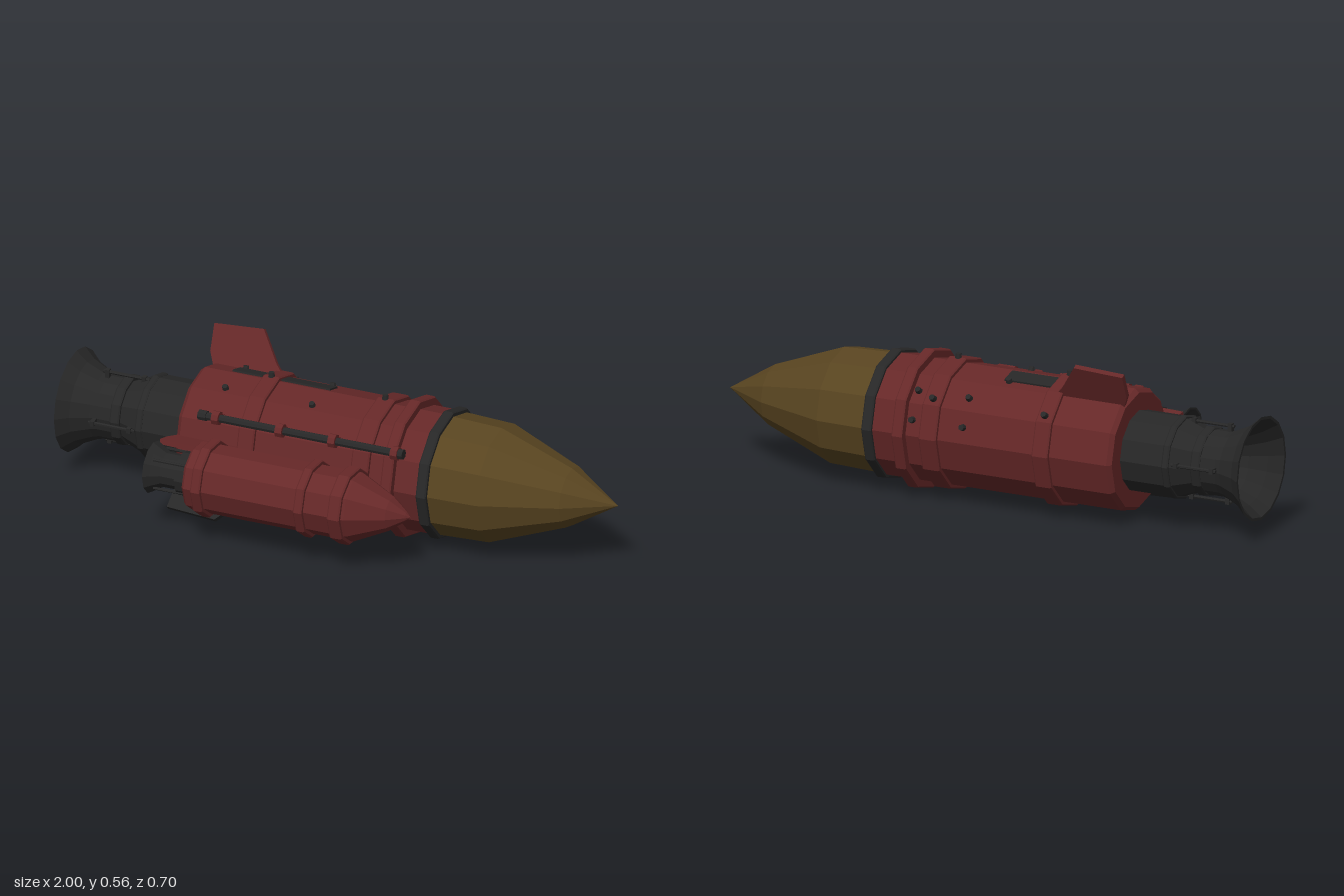
import * as THREE from 'three';

const mat = (name, color) => new THREE.MeshStandardMaterial({ name, color });

export function createModel() {
  const red = mat('hullRed', 0x662828);
  const dark = mat('engineDark', 0x272727);
  const olive = mat('noseOlive', 0x584420);
  const root = new THREE.Group();
  root.name = 'rocket';

  // Faceted mesh helper
  function add(parent, name, geo, material, x = 0, y = 0, z = 0) {
    const g = geo.index ? geo.toNonIndexed() : geo;
    g.computeVertexNormals();
    const m = new THREE.Mesh(g, material);
    m.name = name;
    m.position.set(x, y, z);
    parent.add(m);
    return m;
  }
  // Turned part along x; profile is a list of [x, radius] running towards +x
  function turned(parent, name, profile, sides, material) {
    const pts = profile.map(([x, r]) => new THREE.Vector2(r, x));
    return add(parent, name, new THREE.LatheGeometry(pts, sides).rotateZ(-Math.PI / 2), material);
  }
  // Closed band between x0 and x1 with small bevels
  function band(parent, name, x0, x1, r, sides, material, inner = r - 0.03) {
    turned(parent, name, [[x0, inner], [x0, r - 0.004], [x0 + 0.005, r], [x1 - 0.005, r], [x1, r - 0.004], [x1, inner]], sides, material);
  }
  // Group turned about the x axis so that its +y points outward (positive leans to +z)
  function radial(parent, degrees) {
    const g = new THREE.Group();
    g.rotation.x = THREE.MathUtils.degToRad(degrees);
    parent.add(g);
    return g;
  }

  // Main rocket
  const main = new THREE.Group();
  main.name = 'mainRocket';
  main.position.set(0, 0.243, -0.107);
  root.add(main);
  turned(main, 'hull', [[-0.54, 0], [-0.54, 0.2], [-0.525, 0.213], [0.36, 0.213], [0.36, 0]], 12, red);
  for (const [x0, x1, r] of [[-0.31, -0.25, 0.228], [0.11, 0.175, 0.228], [0.23, 0.27, 0.242]])
    band(main, 'hullBand', x0, x1, r, 12, red);
  band(main, 'noseRing', 0.355, 0.392, 0.225, 12, dark, 0.19);
  turned(main, 'noseCone', [[0.385, 0], [0.385, 0.21], [0.57, 0.203], [0.83, 0.105], [0.98, 0.012], [1, 0]], 12, olive);

  // Main engine with open bell
  turned(main, 'engineHousing', [[-0.81, 0.1], [-0.71, 0.14], [-0.535, 0.14]], 12, dark);
  band(main, 'housingRim', -0.72, -0.695, 0.145, 12, dark);
  turned(main, 'engineBell', [[-0.84, 0.09], [-0.9, 0.105], [-0.955, 0.135], [-1, 0.17], [-1, 0.18], [-0.96, 0.145],
    [-0.9, 0.117], [-0.88, 0.112], [-0.8, 0.112]], 16, dark);
  turned(main, 'chamberWall', [[-0.84, 0], [-0.84, 0.1]], 16, red);
  turned(main, 'injector', [[-0.86, 0], [-0.845, 0.016], [-0.838, 0.016]], 8, olive);
  band(main, 'bellCollar', -0.825, -0.79, 0.12, 12, dark);
  for (let i = 0; i < 4; i++) {
    const g = radial(main, i * 90 + 4);
    add(g, 'engineRod', new THREE.CylinderGeometry(0.006, 0.006, 0.17, 6).rotateZ(Math.PI / 2), dark, -0.81, 0.13, 0);
    for (const x of [-0.88, -0.745])
      add(g, 'rodMount', new THREE.BoxGeometry(0.015, 0.035, 0.018), dark, x, 0.122, 0);
  }

  // Fins: outline in x and radius
  function fin(degrees, tip, material, name) {
    const s = new THREE.Shape([[-0.53, 0.19], [-0.26, 0.19], [-0.31, 0.245], [-0.38, tip], [-0.56, tip - 0.012], [-0.555, 0.245]]
      .map(([x, y]) => new THREE.Vector2(x, y)));
    const geo = new THREE.ExtrudeGeometry(s, { depth: 0.018, bevelEnabled: false }).translate(0, 0, -0.009);
    add(radial(main, degrees), name, geo, material);
  }
  fin(-27, 0.352, red, 'upperFin');
  fin(80, 0.3, red, 'sideFin');
  fin(134.5, 0.325, dark, 'lowerFin');

  // Dark hull panels on the facet beside the top ridge
  const panels = radial(main, -15);
  for (const [x, w] of [[-0.375, 0.11], [-0.16, 0.18]])
    add(panels, 'hullPanel', new THREE.BoxGeometry(w, 0.008, 0.06), dark, x, 0.208, 0.012);

  // Bolts: x, angle, radius
  for (const [x, a, r] of [[-0.28, 0, 0.23], [0.14, 0, 0.23], [-0.28, -54, 0.23], [0.14, -54, 0.23],
    [-0.41, -21, 0.21], [-0.09, -21, 0.21], [-0.41, 24, 0.21], [-0.09, 24, 0.21],
    [0.02, -47, 0.21], [0.02, -75, 0.21], [0.21, -47, 0.21], [0.21, -75, 0.21]])
    add(radial(main, a), 'bolt', new THREE.CylinderGeometry(0.01, 0.013, 0.024, 8), dark, x, r, 0);

  // Fuel line with collars
  const line = new THREE.Group();
  line.name = 'fuelLine';
  line.position.set(0, 0.377, 0.09);
  root.add(line);
  add(line, 'pipe', new THREE.CylinderGeometry(0.014, 0.014, 0.75, 8).rotateZ(Math.PI / 2), dark, -0.075, 0, 0);
  for (const x of [-0.44, 0.285])
    add(line, 'pipeEnd', new THREE.CylinderGeometry(0.018, 0.018, 0.03, 8).rotateZ(Math.PI / 2), dark, x, 0, 0);
  for (const x of [-0.39, -0.155, 0.04, 0.27]) {
    add(line, 'pipeCollar', new THREE.CylinderGeometry(0.024, 0.024, 0.025, 8).rotateZ(Math.PI / 2), red, x, 0, 0);
    add(line, 'pipeMount', new THREE.BoxGeometry(0.02, 0.02, 0.04), red, x, -0.01, -0.018);
  }

  // Side booster
  const booster = new THREE.Group();
  booster.name = 'sideBooster';
  booster.position.set(0, 0.216, 0.217);
  root.add(booster);
  turned(booster, 'boosterHull', [[-0.41, 0], [-0.41, 0.108], [-0.4, 0.118], [0.19, 0.118], [0.315, 0.058], [0.37, 0.016], [0.385, 0]], 10, red);
  for (const [x0, x1] of [[-0.37, -0.335], [0.01, 0.042], [0.135, 0.18]])
    band(booster, 'boosterBand', x0, x1, 0.133, 10, red);
  turned(booster, 'boosterEngine', [[-0.51, 0], [-0.51, 0.055], [-0.54, 0.065], [-0.565, 0.082], [-0.565, 0.09], [-0.545, 0.077],
    [-0.515, 0.06], [-0.46, 0.06], [-0.455, 0.075], [-0.405, 0.075]], 12, dark);
  for (let i = 0; i < 4; i++)
    add(radial(booster, i * 90 + 45), 'boosterRod', new THREE.CylinderGeometry(0.005, 0.005, 0.13, 6).rotateZ(Math.PI / 2), dark, -0.475, 0.073, 0);

  // Struts joining booster and hull
  for (const x of [-0.28, 0.14])
    add(root, 'boosterStrut', new THREE.BoxGeometry(0.06, 0.05, 0.08), dark, x, 0.225, 0.11);

  return root;
}
